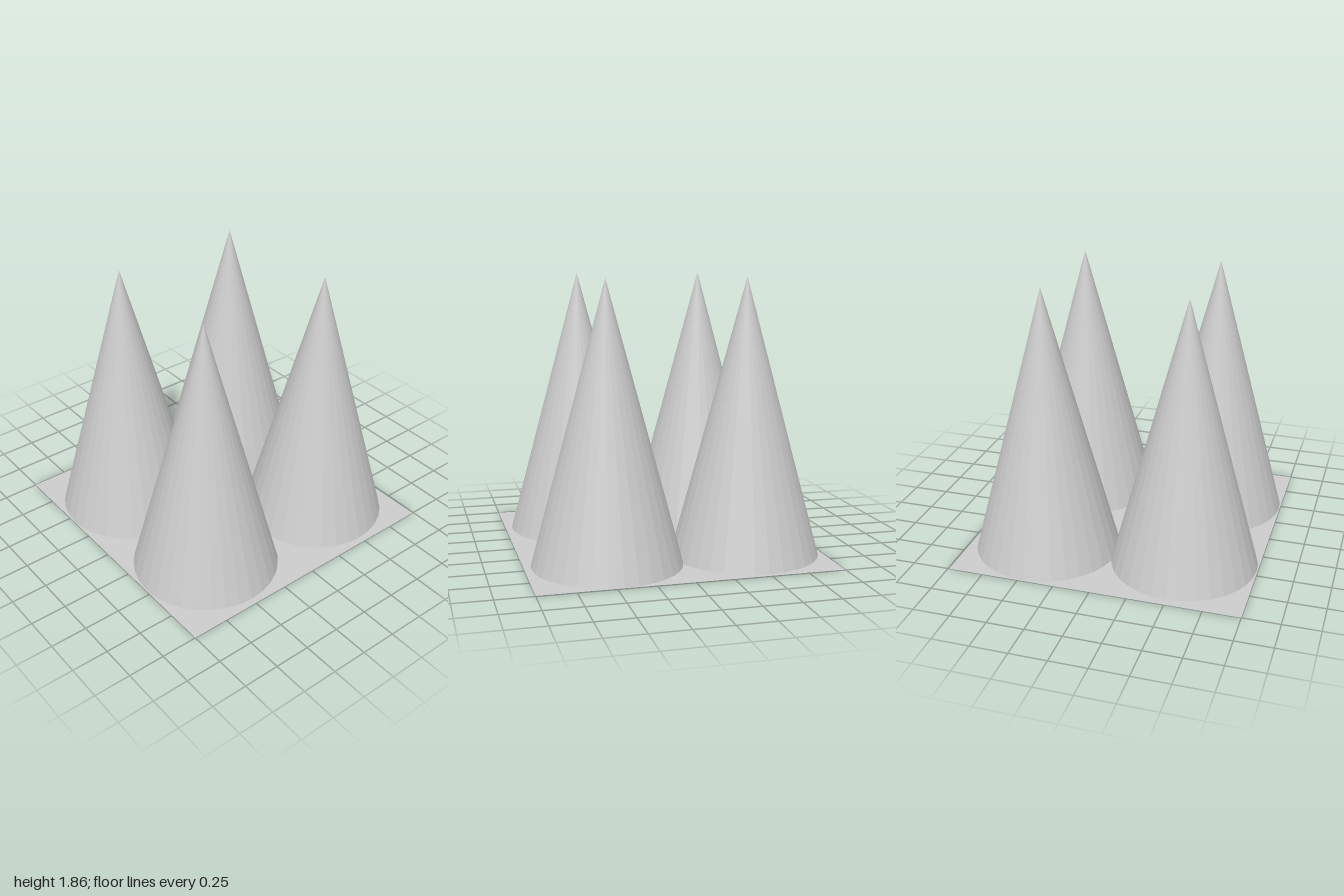
import * as THREE from 'three';

const RADIUS = 0.498;
const HEIGHT = 1.858;
const LIFT = 0.002; // keeps cone bases just clear of the ground sheet

export function createModel() {
  const group = new THREE.Group();
  const coneMaterial = new THREE.MeshStandardMaterial({ color: 0xcccccc, flatShading: true });
  const sheetMaterial = new THREE.MeshStandardMaterial({ color: 0xcccccc, side: THREE.DoubleSide });

  // Flat square sheet under the cones
  const sheet = new THREE.Mesh(new THREE.PlaneGeometry(1.99, 2).rotateX(-Math.PI / 2), sheetMaterial);
  sheet.name = 'groundSheet';
  sheet.position.x = -0.005;
  group.add(sheet);

  // Four faceted cones, slightly irregularly placed
  const coneGeometry = new THREE.ConeGeometry(RADIUS, HEIGHT, 32).translate(0, HEIGHT / 2 + LIFT, 0);
  const cones = [
    ['frontRightCone', -0.497, 0.457],
    ['frontLeftCone', 0.493, 0.457],
    ['backRightCone', -0.497, -0.447],
    ['backLeftCone', 0.467, -0.495],
  ];
  for (const [name, x, z] of cones) {
    const cone = new THREE.Mesh(coneGeometry, coneMaterial);
    cone.name = name;
    cone.position.set(x, 0, z);
    group.add(cone);
  }
  return group;
}
